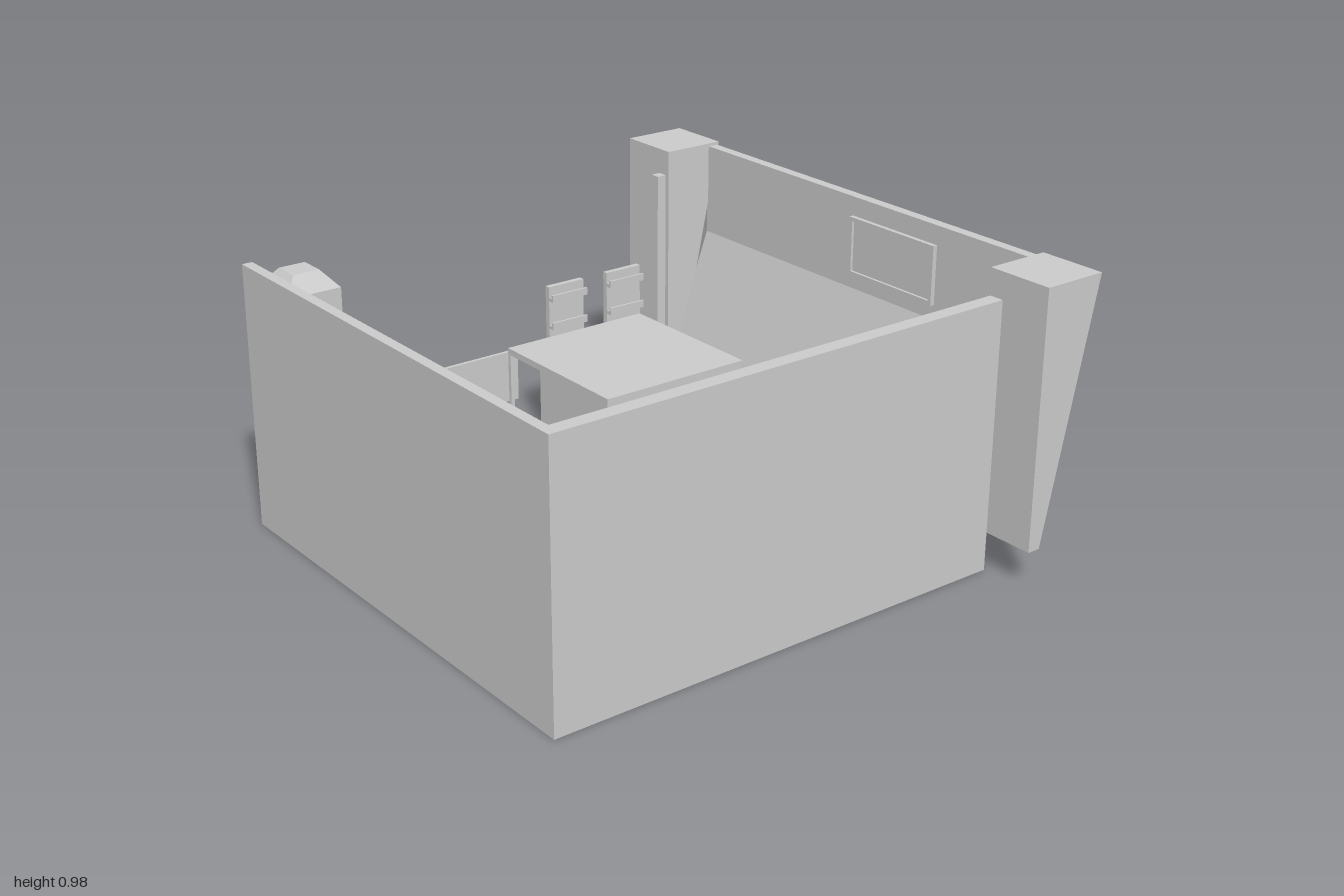
import * as THREE from 'three';

const mat = new THREE.MeshStandardMaterial({ color: 0xcccccc, flatShading: true, side: THREE.DoubleSide });

function add(parent, name, geo, x = 0, y = 0, z = 0) {
  const m = new THREE.Mesh(geo, mat);
  m.name = name;
  m.position.set(x, y, z);
  parent.add(m);
  return m;
}

// box given by its extents on each axis
function box(parent, name, x0, x1, y0, y1, z0, z1) {
  return add(parent, name, new THREE.BoxGeometry(x1 - x0, y1 - y0, z1 - z0),
    (x0 + x1) / 2, (y0 + y1) / 2, (z0 + z1) / 2);
}

// outline in x/y, extruded from z0 to z1
function prism(parent, name, pts, z0, z1) {
  const s = new THREE.Shape(pts.map(p => new THREE.Vector2(p[0], p[1])));
  return add(parent, name, new THREE.ExtrudeGeometry(s, { depth: z1 - z0, bevelEnabled: false }), 0, 0, z0);
}

// four-sided frustum: bottom size, top size, both rectangular
function frustum(parent, name, cx, cz, y0, y1, w0, d0, w1, d1) {
  const g = new THREE.BoxGeometry(1, y1 - y0, 1);
  const p = g.attributes.position;
  for (let i = 0; i < p.count; i++) {
    const top = p.getY(i) > 0;
    p.setX(i, p.getX(i) * (top ? w1 : w0));
    p.setZ(i, p.getZ(i) * (top ? d1 : d0));
  }
  g.computeVertexNormals();
  return add(parent, name, g, cx, (y0 + y1) / 2, cz);
}

function group(parent, name) {
  const g = new THREE.Group();
  g.name = name;
  parent.add(g);
  return g;
}

// framed panel standing in the x/y plane, local to its centre
function framedPanel(parent, name, w, h, d) {
  const f = group(parent, name), t = 0.014;
  for (const s of [-1, 1]) {
    add(f, 'frameSide', new THREE.BoxGeometry(t, h, d), s * (w - t) / 2, 0, 0);
    add(f, 'frameRail', new THREE.BoxGeometry(w - 2 * t, t, d), 0, s * (h - t) / 2, 0);
  }
  add(f, 'framePane', new THREE.BoxGeometry(w - 2 * t, h - 2 * t, d * 0.4), 0, 0, -d * 0.3);
  return f;
}

export function createModel() {
  const root = new THREE.Group();
  root.name = 'room';

  // Shell
  box(root, 'floor', -0.93, 0.70, 0, 0.03, -0.82, 0.83);
  box(root, 'sideWall', -0.93, -0.895, 0.03, 0.89, -0.82, 0.83);
  box(root, 'frontWall', -0.895, 0.70, 0.03, 0.89, 0.78, 0.83);
  box(root, 'cornerPost', 0.665, 0.70, 0.03, 0.89, -0.82, -0.785);
  prism(root, 'bentWall', [[0.66, 0.03], [0.70, 0.03], [0.922, 0.65], [0.922, 0.965],
    [0.885, 0.965], [0.885, 0.65]], -0.78, 0.78);

  // Tapered corner columns
  const column = [[0.705, 0.125], [0.75, 0.125], [0.93, 0.975], [0.705, 0.975]];
  prism(root, 'frontColumn', column, 0.77, 1.0);
  prism(root, 'backColumn', column, -1.0, -0.775);

  // Framed door and window on the front wall, picture on the bent wall
  const door = framedPanel(root, 'door', 0.51, 0.77, 0.025);
  door.position.set(-0.145, 0.415, 0.768);
  door.rotation.y = Math.PI;
  const win = framedPanel(root, 'window', 0.505, 0.245, 0.025);
  win.position.set(0.418, 0.635, 0.768);
  win.rotation.y = Math.PI;
  const pic = framedPanel(root, 'picture', 0.39, 0.2, 0.016);
  pic.position.set(0.877, 0.80, 0.175);
  pic.rotation.y = -Math.PI / 2;

  // Platform with bevelled edge
  frustum(root, 'platform', -0.12, 0.015, 0.03, 0.05, 0.97, 0.95, 0.92, 0.90);

  // Booth: bar frame, roof and two hanging panels
  const booth = group(root, 'booth');
  const [bx0, bx1, bz0, bz1, t] = [-0.385, 0.117, -0.17, 0.34, 0.012];
  box(booth, 'boothRoof', bx0, bx1, 0.665, 0.685, bz0, bz1);
  for (const x of [bx0, bx1 - t]) {
    for (const z of [bz0, bz1 - t]) box(booth, 'boothPost', x, x + t, 0.05, 0.665, z, z + t);
    box(booth, 'boothBaseBar', x, x + t, 0.05, 0.062, bz0, bz1);
  }
  for (const z of [bz0, bz1 - t]) box(booth, 'boothBaseBar', bx0, bx1, 0.05, 0.062, z, z + t);
  box(booth, 'boothFrontPanel', bx0, bx1, 0.58, 0.665, bz1 - t, bz1);
  box(booth, 'boothSidePanel', bx0, bx0 + t, 0.46, 0.665, 0.0, bz1);

  // Office chair
  const chair = group(root, 'chair');
  chair.position.set(-0.07, 0.05, 0.145);
  for (let i = 0; i < 5; i++) {
    const a = i * Math.PI * 2 / 5, c = Math.cos(a), s = Math.sin(a);
    const leg = add(chair, 'chairLeg', new THREE.BoxGeometry(0.1, 0.012, 0.014), c * 0.05, 0.028, -s * 0.05);
    leg.rotation.y = a;
    add(chair, 'chairCaster', new THREE.SphereGeometry(0.012, 8, 6), c * 0.1, 0.012, -s * 0.1);
  }
  add(chair, 'chairStem', new THREE.CylinderGeometry(0.01, 0.01, 0.13, 8), 0, 0.09, 0);
  add(chair, 'chairSeat', new THREE.BoxGeometry(0.14, 0.03, 0.14), 0, 0.165, 0);
  const back = add(chair, 'chairBack', new THREE.BoxGeometry(0.022, 0.2, 0.13), 0.08, 0.29, 0);
  back.rotation.z = -0.12;
  for (const s of [-1, 1]) {
    add(chair, 'chairArmPost', new THREE.BoxGeometry(0.012, 0.08, 0.012), 0.01, 0.21, s * 0.075);
    add(chair, 'chairArmRest', new THREE.BoxGeometry(0.09, 0.012, 0.02), 0.01, 0.255, s * 0.075);
  }

  // Floating shelf with small cube and screen
  box(root, 'wallShelf', -0.425, 0.08, 0.11, 0.13, -0.785, -0.61);
  box(root, 'shelfCube', -0.315, -0.24, 0.13, 0.20, -0.758, -0.685);
  box(root, 'screen', -0.30, 0.05, 0.21, 0.39, -0.785, -0.772);

  // Tall display boards with narrow ledges
  for (const x of [0.18, 0.425]) {
    const board = group(root, 'displayBoard');
    box(board, 'boardPanel', x, x + 0.145, 0.06, 0.59, -0.785, -0.765);
    for (const y of [0.31, 0.44, 0.54]) {
      box(board, 'boardLedge', x, x + 0.145, y, y + 0.012, -0.765, -0.742);
      box(board, 'boardLip', x, x + 0.145, y, y + 0.025, -0.75, -0.742);
    }
  }

  // Corner hood: frustum cap, box head, stem and foot
  const hood = group(root, 'cornerHood');
  frustum(hood, 'hoodCap', -0.803, -0.69, 0.83, 0.885, 0.185, 0.18, 0.09, 0.09);
  box(hood, 'hoodHead', -0.895, -0.71, 0.69, 0.83, -0.78, -0.60);
  box(hood, 'hoodStem', -0.84, -0.765, 0.36, 0.69, -0.735, -0.66);
  box(hood, 'hoodFoot', -0.84, -0.765, 0.34, 0.41, -0.785, -0.70);

  // Two racks along the side wall
  for (const z of [0.03, 0.415]) {
    const rack = group(root, 'rack'), len = 0.345;
    for (const e of [z, z + len - 0.02])
      box(rack, 'rackEnd', -0.885, -0.805, 0.03, 0.55, e, e + 0.02);
    box(rack, 'rackBack', -0.885, -0.875, 0.03, 0.54, z + 0.02, z + len - 0.02);
    for (let i = 0; i < 4; i++) {
      const y = 0.06 + i * 0.155;
      box(rack, 'rackShelf', -0.875, -0.812, y, y + 0.015, z + 0.02, z + len - 0.02);
    }
  }
  return root;
}
